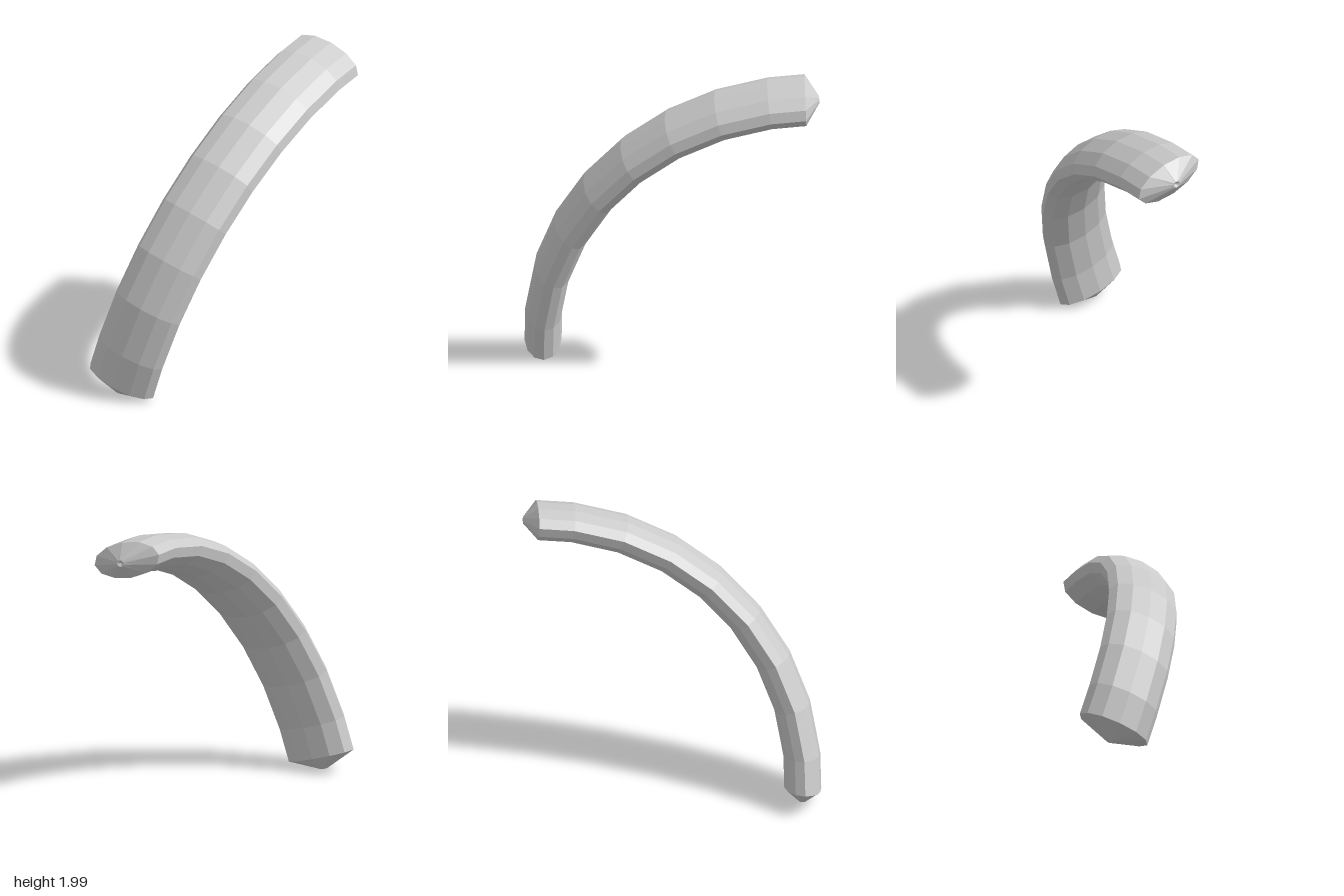
import * as THREE from 'three';

const SIDES = 12;
const RADIUS = 1.746;                                    // bend radius of the centre line
const CENTRE = new THREE.Vector3(0.79, 0.181, -0.631);   // centre of the bend
const OUT = new THREE.Vector3(-0.632, 0.643, 0.432).normalize();   // towards the middle of the arc
const ALONG = new THREE.Vector3(0.708, 0.706, -0.016).normalize(); // from low end to high end
const WIDE = new THREE.Vector3().crossVectors(ALONG, OUT).normalize();
const HALF_WIDTH = 0.245, HALF_DEPTH = 0.12;
const END = 45.7, INNER = 38.2, INNER_STEPS = 7;

// One elliptical ring at an angle on the arc, pushed along the tangent and resized
function ring(degrees, push, w, d) {
  const t = THREE.MathUtils.degToRad(degrees);
  const radial = OUT.clone().multiplyScalar(Math.cos(t)).addScaledVector(ALONG, Math.sin(t));
  const tangent = ALONG.clone().multiplyScalar(Math.cos(t)).addScaledVector(OUT, -Math.sin(t));
  const mid = CENTRE.clone().addScaledVector(radial, RADIUS).addScaledVector(tangent, push);
  return Array.from({ length: SIDES }, (_, j) => {
    const a = (j / SIDES) * Math.PI * 2;
    return mid.clone()
      .addScaledVector(WIDE, w * Math.cos(a))
      .addScaledVector(radial, d * Math.sin(a));
  });
}

// Skin a list of rings with quads
function loft(rings) {
  const index = [];
  for (let i = 0; i < rings.length - 1; i++) {
    for (let j = 0; j < SIDES; j++) {
      const k = (j + 1) % SIDES;
      const a = i * SIDES + j, b = i * SIDES + k;
      index.push(a, a + SIDES, b, b, a + SIDES, b + SIDES);
    }
  }
  const geometry = new THREE.BufferGeometry().setFromPoints(rings.flat());
  geometry.setIndex(index);
  geometry.computeVertexNormals();
  return geometry;
}

export function createModel() {
  const group = new THREE.Group();
  group.name = 'curvedBar';
  const material = new THREE.MeshStandardMaterial({ color: 0xcccccc, flatShading: true });
  const add = (name, rings) => {
    const mesh = new THREE.Mesh(loft(rings), material);
    mesh.name = name;
    group.add(mesh);
  };

  // Bent body, with a shorter segment at each end
  const angles = [-END];
  for (let i = 0; i <= INNER_STEPS; i++) angles.push(-INNER + (2 * INNER * i) / INNER_STEPS);
  angles.push(END);
  add('body', angles.map((a) => ring(a, 0, HALF_WIDTH, HALF_DEPTH)));

  // Faceted cone on each end, with a small dimple at the tip
  for (const [name, side] of [['lowerCap', -1], ['upperCap', 1]]) {
    const rings = [
      ring(side * END, 0, HALF_WIDTH, HALF_DEPTH),
      ring(side * END, side * 0.09, 0.024, 0.022),
      ring(side * END, side * 0.075, 0, 0),
    ];
    add(name, side > 0 ? rings : rings.reverse());
  }
  return group;
}
